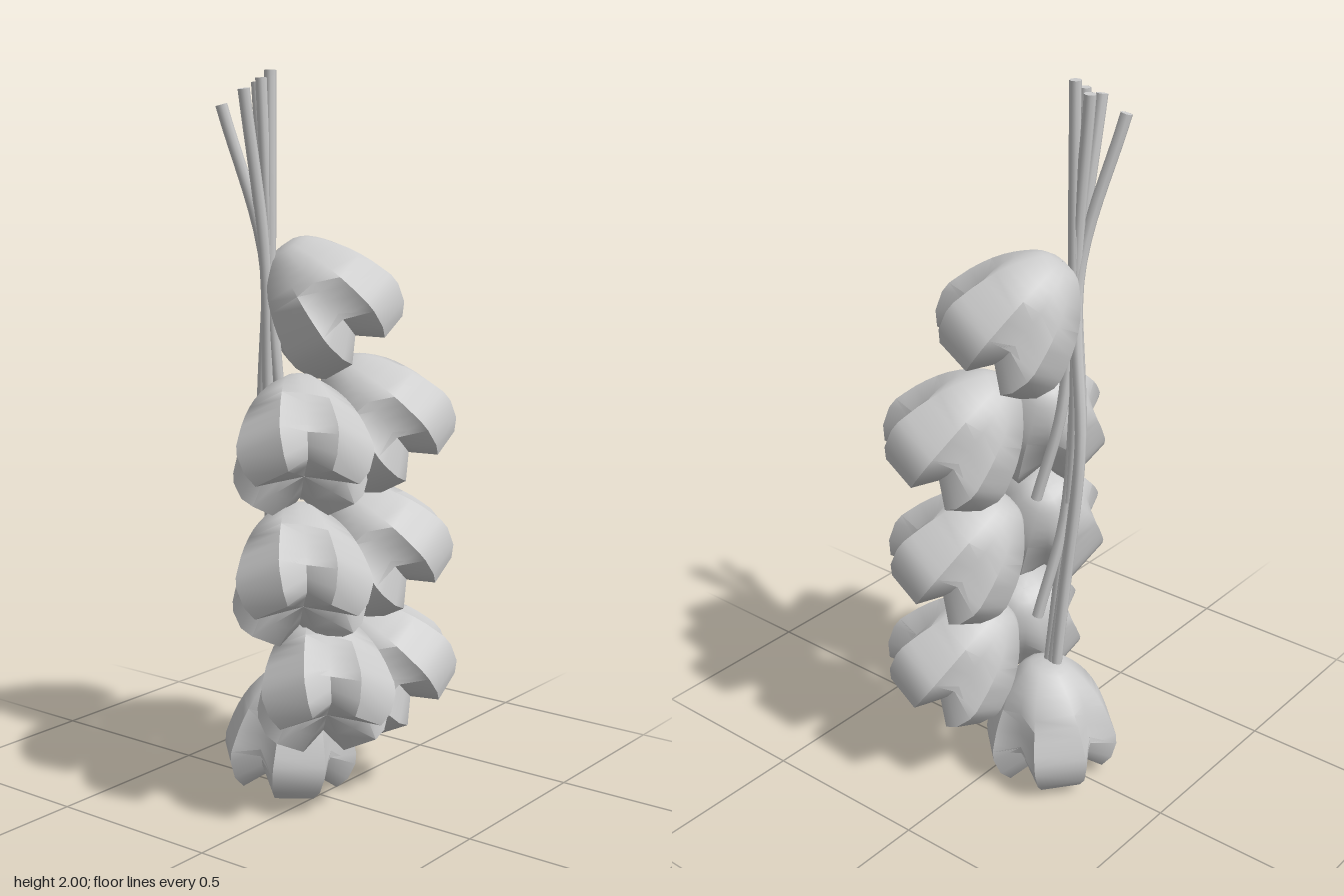
import * as THREE from 'three';
import { toCreasedNormals } from 'three/addons/utils/BufferGeometryUtils.js';

const V = (x, y, z) => new THREE.Vector3(x, y, z);
const material = new THREE.MeshStandardMaterial({ color: 0xcccccc, side: THREE.DoubleSide });

// Four-lobed bulb: rings of 12 corners (two per lobe end, one per notch) from tip to base.
function bulbGeometry() {
  const upper = new THREE.SplineCurve([
    [0.001, 0.352], [0.05, 0.345], [0.09, 0.315], [0.135, 0.26], [0.17, 0.19], [0.193, 0.115],
  ].map(([r, y]) => new THREE.Vector2(r, y))).getPoints(12);
  const lower = [[0.193, 0.085], [0.175, 0.035], [0.145, 0.005], [0.08, 0.03], [0.001, 0.06]]
    .map(([r, y]) => new THREE.Vector2(r, y));
  const rings = [...upper, ...lower];
  const position = [], index = [];
  rings.forEach((p, i) => {
    const under = i >= upper.length;
    const depth = under ? 1 : THREE.MathUtils.smoothstep(0.36 - p.y, 0, 0.24);
    for (let j = 0; j < 12; j++) {
      const lobe = Math.floor(j / 3) * Math.PI / 2;
      const notch = j % 3 === 2;
      const angle = lobe + [-0.39, 0.39, Math.PI / 4][j % 3];
      const r = p.x * (notch ? 1 - 0.27 * depth : 1);
      // the lower rim arches up between lobes
      const lift = notch && under ? 0.05 * Math.min(1, p.x / 0.14) : 0;
      position.push(r * Math.cos(angle), p.y + lift, r * Math.sin(angle));
    }
  });
  for (let i = 0; i < rings.length - 1; i++) {
    for (let j = 0; j < 12; j++) {
      const a = i * 12 + j, c = i * 12 + (j + 1) % 12;
      index.push(a, c, a + 12, c, c + 12, a + 12);
    }
  }
  const g = new THREE.BufferGeometry();
  g.setAttribute('position', new THREE.Float32BufferAttribute(position, 3));
  g.setIndex(index);
  return toCreasedNormals(g, 0.95);
}

// Lean the tip away from the outward direction, then centre the bounds on the given point.
function placeBulb(base, name, centre, outward, tilt, yaw = 0) {
  const g = base.clone().rotateY(yaw);
  const axis = V(0, 1, 0).cross(outward.clone().normalize().negate());
  g.applyQuaternion(new THREE.Quaternion().setFromAxisAngle(axis, tilt));
  g.center().translate(...centre);
  const mesh = new THREE.Mesh(g, material);
  mesh.name = name;
  return mesh;
}

// Thin stalk along a curve, closed at both ends
function stalk(points, radius) {
  const group = new THREE.Group();
  group.name = 'stalk';
  const curve = new THREE.CatmullRomCurve3(points.map(p => V(...p)));
  group.add(new THREE.Mesh(new THREE.TubeGeometry(curve, 28, radius, 8), material));
  for (const t of [0, 1]) {
    const cap = new THREE.Mesh(new THREE.CircleGeometry(radius, 8), material);
    cap.position.copy(curve.getPoint(t));
    cap.quaternion.setFromUnitVectors(V(0, 0, 1), curve.getTangent(t).multiplyScalar(t ? 1 : -1));
    group.add(cap);
  }
  group.children.forEach((m, i) => { m.name = i ? 'stalkEnd' : 'stalkBody'; });
  return group;
}

export function createModel() {
  const model = new THREE.Group();
  model.name = 'bulbBraid';
  const bulb = bulbGeometry();
  const back = V(1, 0, -1), front = V(1, 0, 1), tilt = 0.68;

  // Bulbs hanging to the back and to the front of the braid
  model.add(placeBulb(bulb, 'topBulb', [0.0, 1.375, -0.075], back, tilt));
  [[0.1, 1.055, -0.185], [0.1, 0.7, -0.18], [0.11, 0.365, -0.19]]
    .forEach(c => model.add(placeBulb(bulb, 'backBulb', c, back, tilt)));
  [[0.07, 1.02, 0.165], [0.09, 0.68, 0.195], [0.115, 0.37, 0.125]]
    .forEach(c => model.add(placeBulb(bulb, 'frontBulb', c, front, tilt)));

  // Bulb at the lower end, nearly upright
  model.add(placeBulb(bulb, 'bottomBulb', [-0.12, 0.18, -0.015], V(-1, 0, 0.2), 0.09, Math.PI / 4 + 0.03));

  // Stalks gathered at the top bulb and fanning out above it
  const stalks = [
    [[-0.13, 0.33, -0.01], [-0.145, 0.6, 0.01], [-0.175, 1.03, 0.03], [-0.125, 1.5, 0.08], [-0.2, 1.91, 0.165]],
    [[-0.12, 0.33, -0.01], [-0.13, 0.6, 0.02], [-0.16, 1.03, 0.05], [-0.12, 1.5, 0.075], [-0.157, 1.97, 0.07]],
    [[-0.1, 0.29, -0.01], [-0.115, 0.6, 0.02], [-0.14, 1.03, 0.05], [-0.115, 1.5, 0.07], [-0.118, 2.0, 0.062]],
    [[-0.08, 0.5, -0.03], [-0.125, 0.8, 0.03], [-0.13, 1.1, 0.06], [-0.12, 1.5, 0.085], [-0.127, 1.95, 0.16]],
    [[-0.05, 0.85, 0.0], [-0.1, 1.1, 0.04], [-0.11, 1.3, 0.06], [-0.115, 1.5, 0.07], [-0.13, 1.98, 0.085]],
  ];
  stalks.forEach(p => model.add(stalk(p, 0.016)));
  return model;
}
